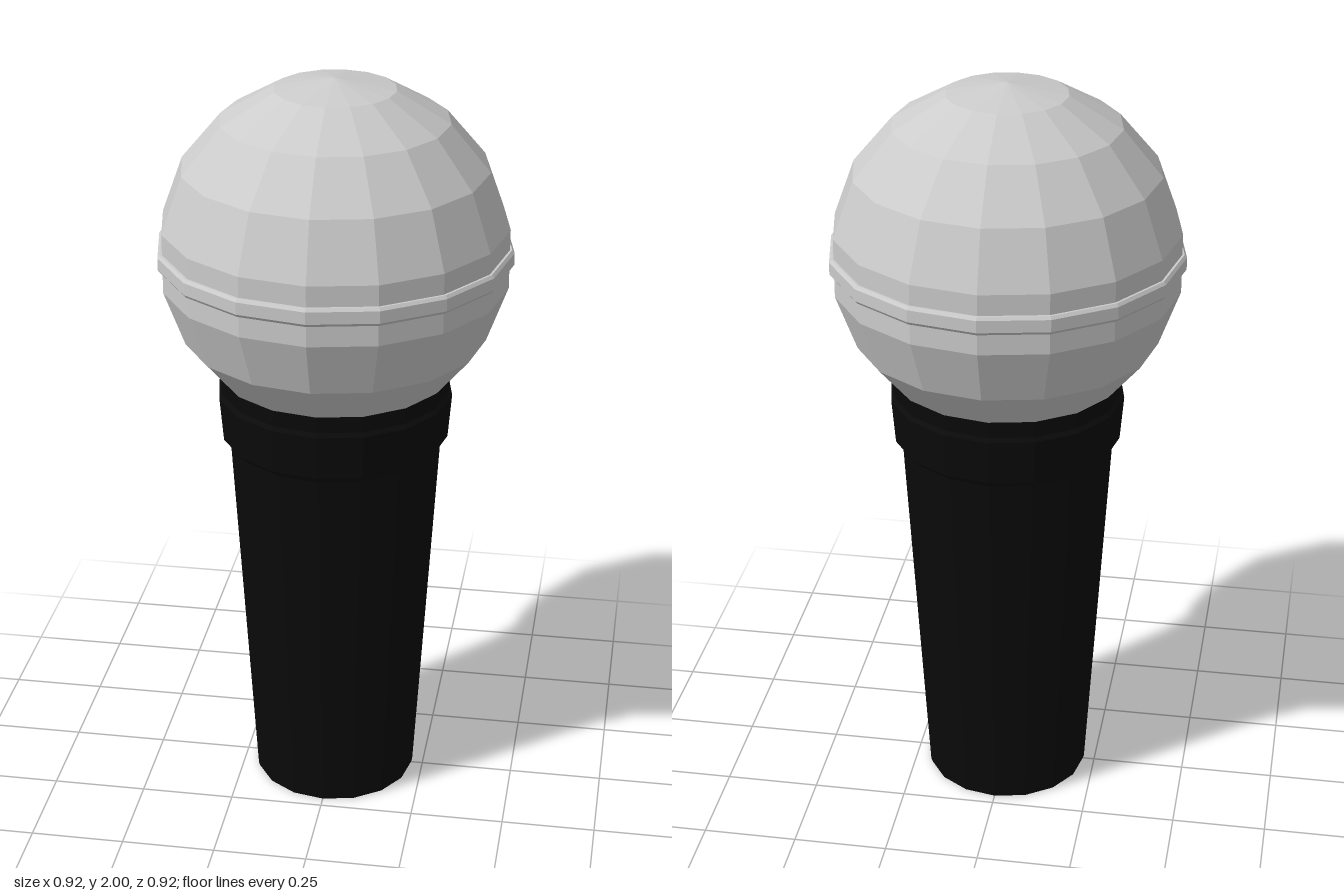
import * as THREE from 'three';

const SIDES = 16;

export function createModel() {
  const model = new THREE.Group();
  const grey = new THREE.MeshStandardMaterial({ color: 0xcccccc, flatShading: true });
  const black = new THREE.MeshStandardMaterial({ color: 0x0a0a0a, flatShading: true });

  const add = (name, geometry, material) => {
    const mesh = new THREE.Mesh(geometry, material);
    mesh.name = name;
    model.add(mesh);
    return mesh;
  };
  // Profile of [radius, height] pairs, listed from bottom to top
  const turned = (points) =>
    new THREE.LatheGeometry(points.map(([r, y]) => new THREE.Vector2(r, y)), SIDES);

  // Faceted ball grille
  add('grille', new THREE.SphereGeometry(0.455, SIDES, 9), grey).position.y = 1.545;

  // Thin bevelled band around the grille
  add('grilleBand', turned([
    [0.44, 1.522], [0.454, 1.522], [0.46, 1.53], [0.46, 1.562], [0.454, 1.57], [0.44, 1.57],
  ]), grey);

  // Stepped collar under the grille
  add('collar', turned([
    [0.27, 1.015], [0.281, 1.015], [0.3, 1.035], [0.31, 1.155], [0.301, 1.165], [0.304, 1.212], [0.27, 1.212],
  ]), black);

  // Tapered handle with a closed base
  add('handle', turned([[0, 0], [0.218, 0], [0.221, 0.01], [0.282, 1.03], [0, 1.03]]), black);

  return model;
}
